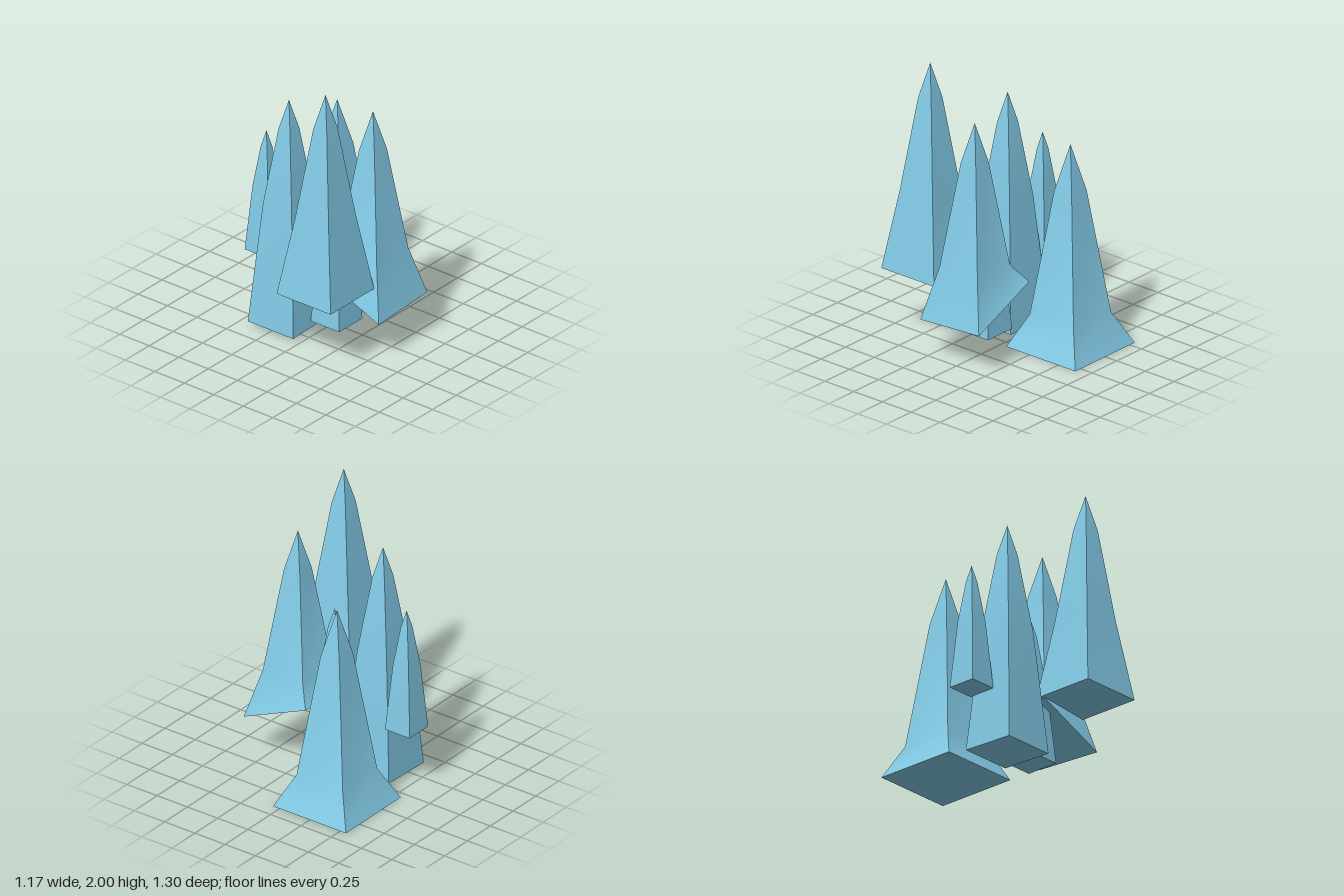
import * as THREE from 'three';
import { toCreasedNormals } from 'three/addons/utils/BufferGeometryUtils.js';

// Square corners, counter-clockwise seen from above
const CORNERS = [[1, 1], [1, -1], [-1, -1], [-1, 1]];

// Four-sided spire: rings are [halfWidth, y] from the base up, ending in a point.
// tiltX and tiltZ slope the base by raising its +x and +z edges.
function spireGeometry(rings, apexY, tiltX = 0, tiltZ = 0) {
  const positions = [];
  const index = [];
  rings.forEach(([half, y], level) => {
    for (const [cx, cz] of CORNERS) {
      const lift = level === 0 ? cx * tiltX + cz * tiltZ : 0;
      positions.push(cx * half, y + lift, cz * half);
    }
  });
  const apex = rings.length * 4;
  positions.push(0, apexY, 0);

  for (let side = 0; side < 4; side++) {
    const next = (side + 1) % 4;
    for (let level = 0; level < rings.length - 1; level++) {
      const a = level * 4 + side, b = level * 4 + next;
      index.push(a, b, b + 4, a, b + 4, a + 4);
    }
    const top = (rings.length - 1) * 4;
    index.push(top + side, top + next, apex);
  }
  // Underside
  index.push(0, 2, 1, 0, 3, 2);

  const geometry = new THREE.BufferGeometry();
  geometry.setAttribute('position', new THREE.Float32BufferAttribute(positions, 3));
  geometry.setIndex(index);
  return toCreasedNormals(geometry, 0.7);
}

const SPIRES = [
  { name: 'backSpire', x: -0.247, z: -0.35, apex: 1.455,
    rings: [[0.301, 0], [0.19, 0.23], [0.076, 1.12]] },
  { name: 'tiltedSpire', x: 0.33, z: -0.013, apex: 1.71, tiltX: -0.11, tiltZ: -0.015,
    rings: [[0.255, 0.42], [0.165, 0.67], [0.066, 1.42]] },
  { name: 'tallFrontSpire', x: 0.277, z: 0.42, apex: 2,
    rings: [[0.229, 0.52], [0.143, 1.08], [0.057, 1.75]] },
  { name: 'frontSpire', x: -0.228, z: 0.18, apex: 1.685, tiltZ: -0.007,
    rings: [[0.193, 0.037], [0.121, 0.92], [0.049, 1.47]] },
  { name: 'smallRightSpire', x: -0.486, z: 0.097, apex: 1.33,
    rings: [[0.102, 0.44], [0.065, 0.92], [0.027, 1.21]] },
  { name: 'smallMiddleSpire', x: 0.1, z: 0.086, apex: 1.15,
    rings: [[0.122, 0.1], [0.077, 0.66], [0.031, 1.02]] },
];

export function createModel() {
  const group = new THREE.Group();
  group.name = 'crystalCluster';
  const ice = new THREE.MeshStandardMaterial({ color: 0x82cae6 });
  ice.name = 'ice blue';

  for (const s of SPIRES) {
    const mesh = new THREE.Mesh(spireGeometry(s.rings, s.apex, s.tiltX, s.tiltZ), ice);
    mesh.name = s.name;
    mesh.position.set(s.x, 0, s.z);
    group.add(mesh);
  }
  return group;
}
